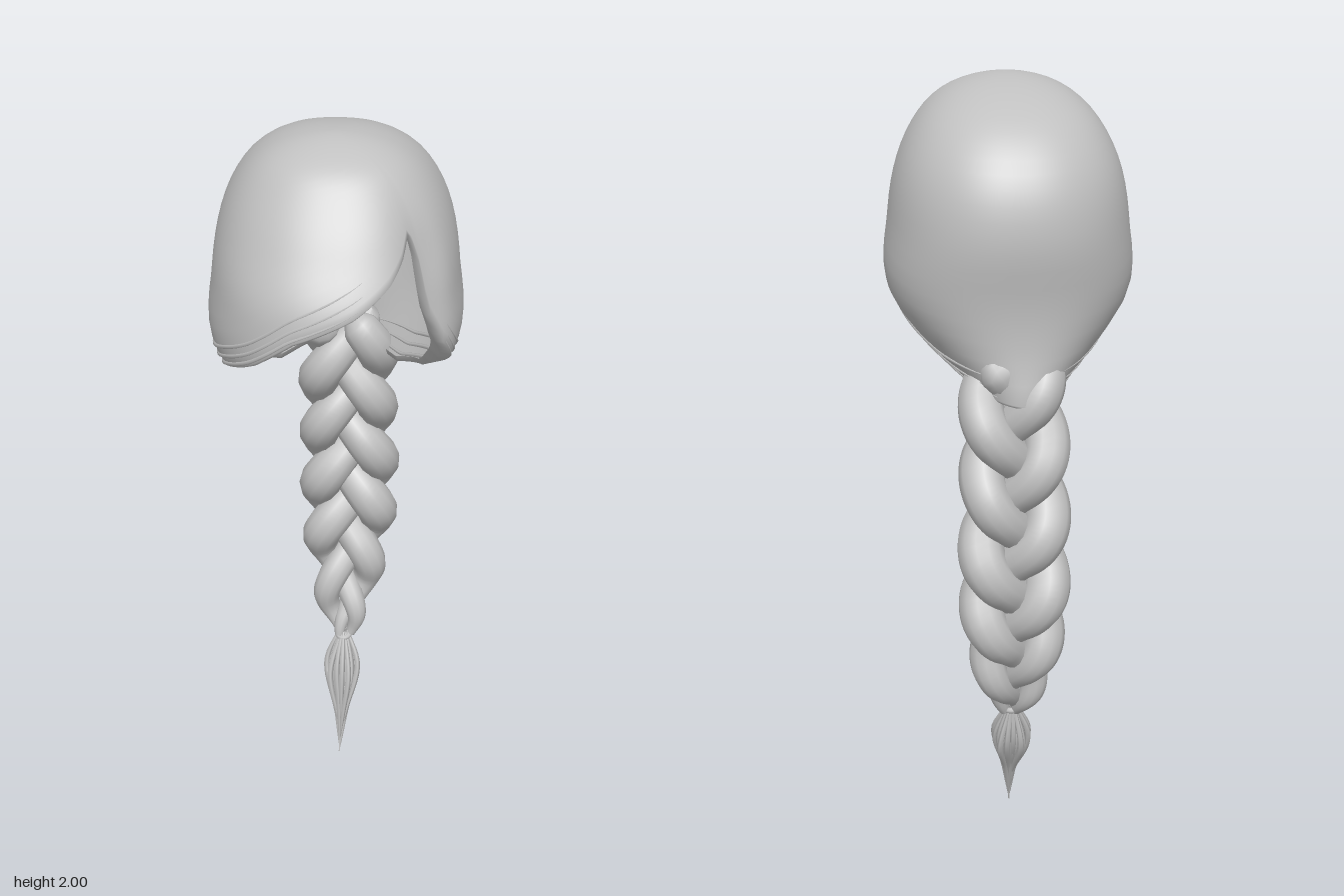
import * as THREE from 'three';
import { mergeVertices } from 'three/addons/utils/BufferGeometryUtils.js';

const hair = new THREE.MeshStandardMaterial({ color: 0xc0c0c0, side: THREE.DoubleSide });
hair.name = 'hair grey';

const V = (x, y, z) => new THREE.Vector3(x, y, z);
const rad = THREE.MathUtils.degToRad;

// Head sections: height, half width, front depth, back depth, centre z
const sections = [
  [2.0, 0, 0, 0, 0.06], [1.98, 0.113, 0.095, 0.12, 0.05], [1.95, 0.168, 0.16, 0.19, 0.04],
  [1.9, 0.217, 0.227, 0.25, 0.02], [1.8, 0.266, 0.318, 0.304, 0], [1.67, 0.29, 0.384, 0.328, 0],
  [1.5, 0.294, 0.36, 0.308, 0], [1.4, 0.23, 0.26, 0.31, 0], [1.27, 0.1, 0.1, 0.332, 0],
];
const sectionAt = new THREE.CubicInterpolant(
  sections.map((s) => Math.sqrt(2 - s[0])), sections.flatMap((s) => s.slice(1)), 4);

// Lower edge height by azimuth in degrees (0 = front, positive = model's left)
const rim = [
  [-180, 1.29], [-130, 1.33], [-90, 1.4], [-70, 1.44], [-50, 1.485], [-38, 1.52], [-27, 1.56], [-12, 1.635],
  [8, 1.695], [22, 1.75], [30, 1.79], [36, 1.83], [39, 1.8], [43, 1.65], [50, 1.56], [60, 1.49],
  [75, 1.43], [90, 1.39], [130, 1.33], [180, 1.29],
];
const rimAt = new THREE.LinearInterpolant(rim.map((r) => r[0]), rim.map((r) => r[1]), 1);
const rimY = (a) => rimAt.evaluate(a)[0];

// Point on the head surface, with a valley along the parting
function surface(a, y, scale = 1) {
  const [rx, rf, rb, cz] = sectionAt.evaluate(Math.sqrt(Math.max(0, 2 - y)));
  const s = Math.sin(rad(a)), c = Math.cos(rad(a)), n = 2.25;
  if (rx < 1e-4) return V(0, y, cz);
  const rz = c > 0 ? rf : rb;
  let r = Math.pow(Math.pow(Math.abs(s) / rx, n) + Math.pow(Math.abs(c) / rz, n), -1 / n);
  const depth = 0.1 * THREE.MathUtils.smoothstep(2 - y, 0.04, 0.32);
  r *= scale * (1 - depth * Math.exp(-(((a - 40) / 10) ** 2)));
  return V(s * r, y, cz + c * r);
}

function capGeometry() {
  const cols = 180, rows = 24, pos = [], idx = [];
  for (let i = 0; i < cols; i++) {
    const a = -180 + (360 * i) / cols, low = rimY(a);
    for (let j = 0; j <= rows; j++) {
      const y = 2 - (2 - low) * (1 - Math.cos((j / rows) * Math.PI / 2));
      pos.push(...surface(a, y).toArray());
    }
    // edge rolled under, widest at the temples
    const w = 0.05 + 0.13 * Math.exp(-(((Math.abs(a) - 65) / 24) ** 2));
    pos.push(...surface(a, low, 1 - w * 0.5).setY(low - 0.008).toArray());
    pos.push(...surface(a, low, 1 - w).setY(low + 0.008).toArray());
  }
  const n = rows + 3;
  for (let i = 0; i < cols; i++) {
    for (let j = 0; j < n - 1; j++) {
      const p = i * n + j, q = ((i + 1) % cols) * n + j;
      idx.push(p, p + 1, q, q, p + 1, q + 1);
    }
  }
  let g = new THREE.BufferGeometry();
  g.setAttribute('position', new THREE.Float32BufferAttribute(pos, 3));
  g.setIndex(idx);
  g = mergeVertices(g, 1e-5);
  g.computeVertexNormals();
  return g;
}

// Tube whose radius varies along its length
function lock(points, radius, segments, sides) {
  const curve = new THREE.CatmullRomCurve3(points);
  let g = new THREE.TubeGeometry(curve, segments, 1, sides);
  const p = g.attributes.position, nrm = g.attributes.normal;
  for (let i = 0; i < p.count; i++) {
    const u = Math.floor(i / (sides + 1)) / segments;
    const c = curve.getPointAt(u), r = radius(u);
    p.setXYZ(i, c.x + nrm.getX(i) * r, c.y + nrm.getY(i) * r, c.z + nrm.getZ(i) * r);
  }
  g.deleteAttribute('uv');
  g.deleteAttribute('normal');
  g = mergeVertices(g, 1e-6);
  g.computeVertexNormals();
  return g;
}

// Braid path: height, centre x, centre z, size
const braid = [
  [1.4, 0.02, -0.235, 0.9], [1.25, 0.02, -0.26, 0.98], [1.0, 0.02, -0.29, 1], [0.85, 0.024, -0.295, 1.04],
  [0.7, 0.02, -0.288, 1], [0.55, 0.018, -0.255, 0.8], [0.45, 0.014, -0.215, 0.6], [0.37, 0.012, -0.182, 0.24],
];
const braidAt = new THREE.CubicInterpolant(
  braid.map((b) => -b[0]), braid.flatMap((b) => b.slice(1)), 3);

function createModel() {
  const model = new THREE.Group();
  const add = (name, geometry, parent = model) => {
    const m = new THREE.Mesh(geometry, hair);
    m.name = name;
    parent.add(m);
    return m;
  };

  add('hairCap', capGeometry());

  // Fine strands lying flat along the lower edge
  const strands = new THREE.Group();
  strands.name = 'edgeStrands';
  model.add(strands);
  for (const [from, to] of [[18, -168], [48, 168]]) {
    [0.008, 0.03, 0.055].forEach((off) => {
      const pts = [];
      for (let i = 0; i <= 24; i++) {
        const a = from + ((to - from) * i) / 24;
        pts.push(surface(a, rimY(a) + off, 0.995));
      }
      add('edgeStrand', lock(pts, (u) => 0.001 + 0.005 * Math.sin(Math.PI * u), 60, 5), strands);
    });
  }

  // Three plaited locks, crossing outward over the front
  const plait = new THREE.Group();
  plait.name = 'braid';
  model.add(plait);
  for (let k = 0; k < 3; k++) {
    const pts = [], steps = 48;
    const phase = (t) => 2 * Math.PI * (1.93 * t + k / 3) + 0.05;
    for (let i = 0; i <= steps; i++) {
      const t = i / steps, y = 1.4 - 1.03 * t, f = phase(t);
      const [cx, cz, s] = braidAt.evaluate(-y);
      pts.push(V(cx + 0.08 * s * Math.sin(f), y, cz + 0.034 * s * Math.sin(2 * f)));
    }
    const radius = (u) => {
      const s = braidAt.evaluate(-(1.4 - 1.03 * u))[2];
      return s * (0.05 + 0.007 * Math.abs(Math.sin(phase(u)))) * Math.sqrt(Math.min(1, 0.0005 + u * 30));
    };
    add('braidLock', lock(pts, radius, 130, 12), plait);
  }

  // Tie below the braid
  const tie = add('braidTie', new THREE.TorusGeometry(0.018, 0.008, 8, 20));
  tie.position.set(0.012, 0.372, -0.182);
  tie.rotation.x = Math.PI / 2 + 0.3;

  // Tuft: a core with thin strands bowing around it
  const tuft = new THREE.Group();
  tuft.name = 'tuft';
  model.add(tuft);
  const top = V(0.012, 0.38, -0.184), mid = V(0.01, 0.275, -0.157), low = V(0.008, 0.15, -0.11);
  const tip = V(0.005, 0.0, -0.07);
  add('tuftCore', lock([top, mid, low, tip],
    (u) => 0.002 + 0.034 * Math.pow(Math.sin(Math.PI * Math.pow(1 - u, 1.8)), 1.3) + 0.012 * Math.max(0, 1 - 6 * u),
    30, 12), tuft);
  for (let k = 0; k < 16; k++) {
    const a = (k / 16) * Math.PI * 2, w = 0.044 + 0.006 * Math.sin(k * 2.4);
    const off = (p, r) => p.clone().add(V(Math.cos(a) * r, Math.sin(k * 1.7) * r * 0.3, Math.sin(a) * r));
    const end = tip.clone().lerp(low, 0.05 + 0.7 * ((k * 7) % 16) / 16);
    add('tuftStrand', lock([off(top, 0.012), off(mid, w), off(low, w * 0.4), end],
      (u) => 0.0008 + 0.008 * Math.pow(Math.sin(Math.PI * Math.min(1, 0.12 + 0.88 * u)), 0.8), 18, 5), tuft);
  }
  return model;
}

export { createModel };
